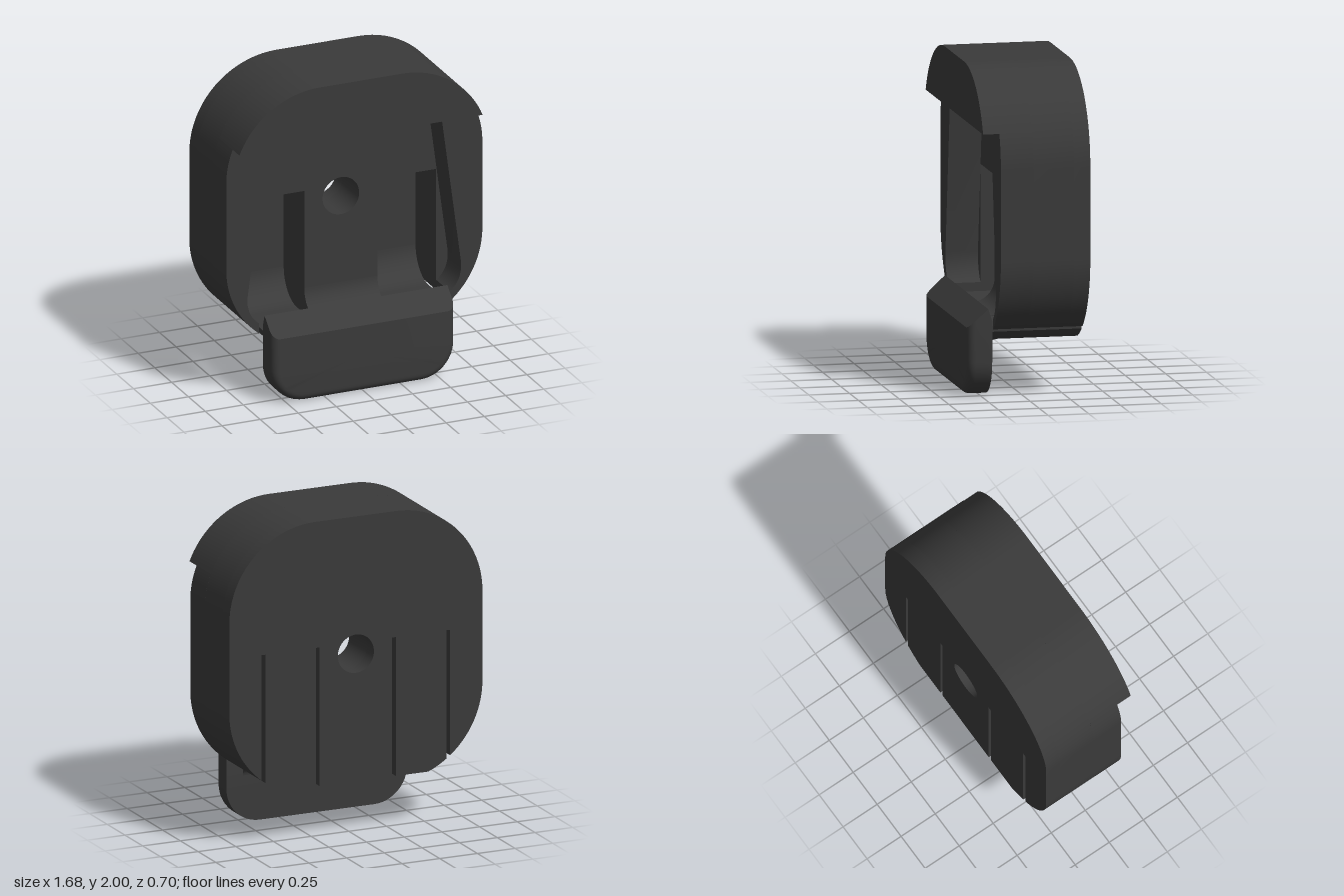
import * as THREE from 'three';
import { toCreasedNormals } from 'three/addons/utils/BufferGeometryUtils.js';

const material = new THREE.MeshStandardMaterial({ color: 0x3a3a3a });
const R = 0.57, CX = 0.27, LOW = 0.87, HIGH = 1.43; // body corner arcs
const BASE = 0.34, SLIT_TOP = 1.21, HEAD = 1.645;

// Points along an arc from angle a to angle b
function arc(cx, cy, r, a, b, n = 20) {
  return Array.from({ length: n + 1 }, (_, i) => {
    const t = a + (b - a) * i / n;
    return [cx + r * Math.cos(t), cy + r * Math.sin(t)];
  });
}
const lowAngleAtX = x => -Math.acos((x - CX) / R);
const baseAngle = Math.asin((BASE - LOW) / R);
const headAngle = Math.asin((HEAD - HIGH) / R);
const mirror = pts => pts.map(([x, y]) => [-x, y]).reverse();
const symmetric = pts => [...pts, ...mirror(pts)];

function add(group, name, geometry) {
  const mesh = new THREE.Mesh(geometry, material);
  mesh.name = name;
  group.add(mesh);
}

// Plate with an outline in x, y reaching from z0 to z1
function plate(pts, z0, z1, hole = false) {
  const shape = new THREE.Shape(pts.map(p => new THREE.Vector2(...p)));
  if (hole) shape.holes.push(new THREE.Path().absarc(0, 1.14, 0.12, 0, Math.PI * 2, true));
  const g = new THREE.ExtrudeGeometry(shape, { depth: z1 - z0, bevelEnabled: false, curveSegments: 24 });
  return toCreasedNormals(g.translate(0, 0, z0), 0.5);
}

// Profile in z, y swept from x0 to x1
function sweepX(pts, x0, x1) {
  const g = plate(pts, 0, x1 - x0);
  return g.rotateY(-Math.PI / 2).translate(x1, 0, 0);
}

// Rounded tab: stacked outlines, front edge rolled over, top chamfered
function latchGeometry() {
  const layers = [[0.2, 0, 0.47], [0.225, 0, 0.545], [0.3, 0, 0.476]];
  for (let i = 1; i <= 6; i++) {
    const t = i / 6 * Math.PI / 2, z = 0.3 + 0.05 * Math.sin(t);
    layers.push([z, 0.05 * (1 - Math.cos(t)), 0.545 - (z - 0.225) * 0.92]);
  }
  const loops = layers.map(([z, inset, top]) => {
    const half = [...arc(0.38, 0.22, 0.22 - inset, -Math.PI / 2, 0, 12), [0.6 - inset, top]];
    return symmetric(half).map(([x, y]) => [x, y, z]);
  });
  const n = loops[0].length, pos = loops.flat(2), index = [];
  for (let k = 0; k < loops.length - 1; k++) {
    for (let i = 0; i < n; i++) {
      const j = (i + 1) % n, a = k * n + i, b = k * n + j;
      index.push(a, b, b + n, a, b + n, a + n);
    }
  }
  const last = (loops.length - 1) * n, back = loops.length * n;
  pos.push(0, 0.25, 0.2, 0, 0.25, 0.35);
  for (let i = 0; i < n; i++) {
    const j = (i + 1) % n;
    index.push(back, j, i, back + 1, last + i, last + j);
  }
  const g = new THREE.BufferGeometry();
  g.setAttribute('position', new THREE.Float32BufferAttribute(pos, 3));
  g.setIndex(index);
  return toCreasedNormals(g.toNonIndexed(), 0.5);
}

export function createModel() {
  const group = new THREE.Group();
  group.name = 'clipHousing';

  const outer = [
    ...arc(CX, LOW, R, lowAngleAtX(0.625), 0),
    ...arc(CX, HIGH, R, 0, Math.PI / 2),
  ];
  const fingerBase = [[0.265, BASE], ...arc(CX, LOW, R, baseAngle, lowAngleAtX(0.6), 6)];

  // Thin back wall, cut by four slits into three fingers
  add(group, 'backWall', plate(symmetric([
    [0.24, BASE], [0.24, SLIT_TOP], [0.265, SLIT_TOP],
    ...fingerBase, [0.6, SLIT_TOP], [0.625, SLIT_TOP], ...outer,
  ]), -0.35, -0.25, true));

  // Thicker layer with the pockets in front of the side fingers left open
  add(group, 'recessFloor', plate(symmetric([
    [0.24, BASE], [0.24, SLIT_TOP], [0.625, SLIT_TOP], ...outer,
  ]), -0.25, 0, true));

  // Solid head with its overhanging lip
  add(group, 'head', plate(symmetric(arc(CX, HIGH, R, headAngle, Math.PI / 2)), 0, 0.3));

  // Cheeks beside the tapering recess
  const cheek = [
    [0.57, HEAD], [0.7, 0.67], [0.7, 0.62], [0.69, 0.575], [0.67, 0.535], [0.645, 0.505], [0.625, 0.49],
    ...arc(CX, LOW, R, lowAngleAtX(0.625), 0),
    ...arc(CX, HIGH, R, 0, headAngle, 10),
  ];
  add(group, 'leftCheek', plate(cheek, 0, 0.2));
  add(group, 'rightCheek', plate(mirror(cheek), 0, 0.2));

  // Side fingers bend forward to carry the latch
  const shelf = [...fingerBase, [0.6, 0.44], [0.265, 0.44]];
  const bend = [[-0.25, 0.44], ...arc(-0.06, 0.63, 0.19, Math.PI, Math.PI * 1.5, 12)];
  const web = [[0.2, BASE], ...arc(0.15, 0.29, 0.05, Math.PI / 2, 0, 8).map(([z, y]) => [z, y])];
  for (const [side, s] of [['left', 1], ['right', -1]]) {
    const range = (a, b) => (s > 0 ? [a, b] : [-b, -a]);
    add(group, side + 'FingerShelf', plate(s > 0 ? shelf : mirror(shelf), -0.25, 0.205));
    add(group, side + 'FingerBend', sweepX(bend, ...range(0.265, 0.6)));
    add(group, side + 'LatchWeb', sweepX(web, ...range(0.265, 0.49)));
  }

  // Foot of the middle finger, stopping short of the latch
  add(group, 'middleFoot', sweepX([
    [0, BASE], [0.14, BASE], [0.14, 0.44], ...arc(0.14, 0.58, 0.14, Math.PI * 1.5, Math.PI, 12),
  ], -0.24, 0.24));

  add(group, 'latch', latchGeometry());
  return group;
}
